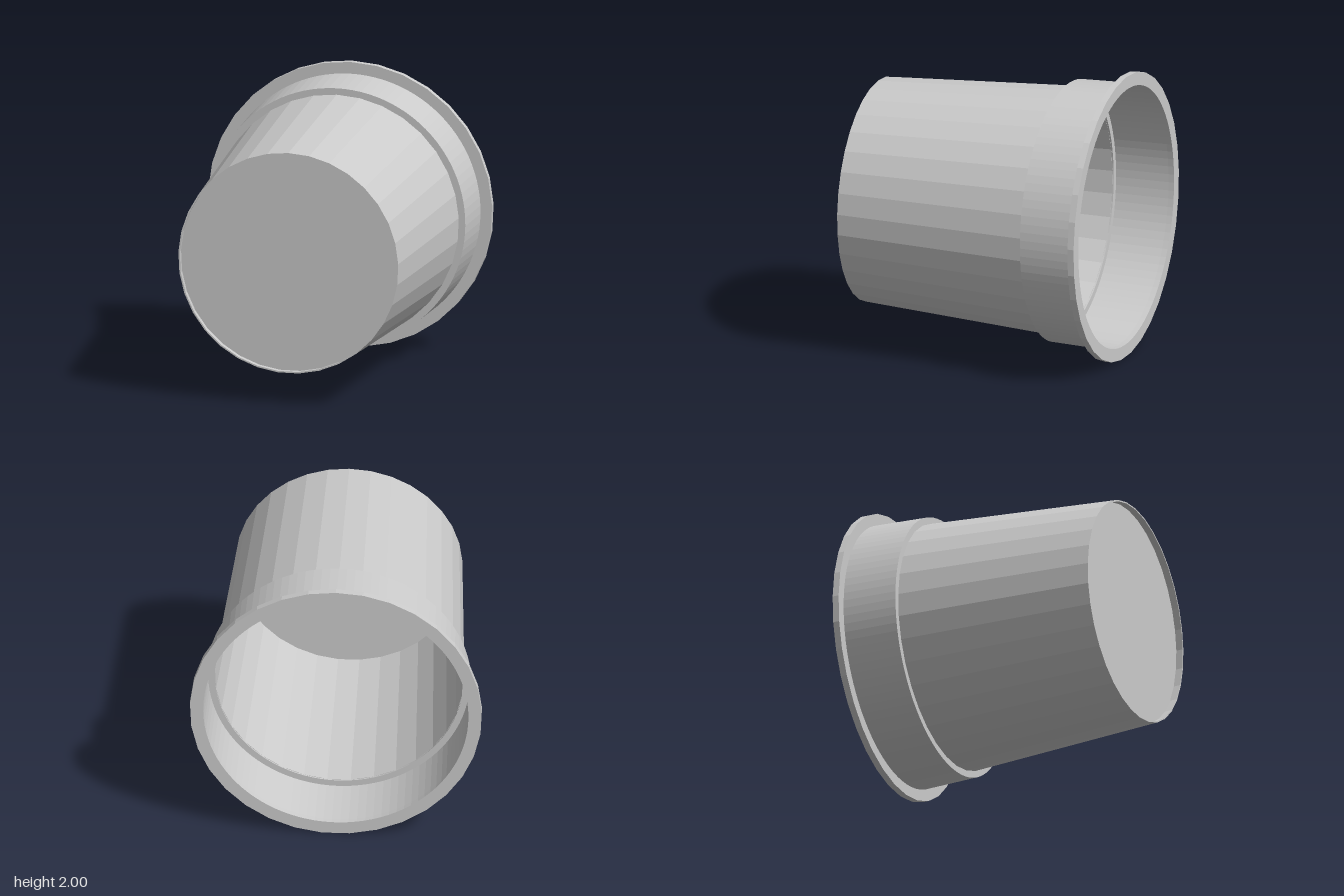
import * as THREE from 'three';

const SIDES = 33;   // coarse facets of body and rim
const FINE = 99;    // finer facets of the collar

const material = new THREE.MeshStandardMaterial({ color: 0xcccccc, flatShading: true });

// Turn a profile of [radius, z] points about the z axis, with one corner at the top
function turned(name, profile, sides) {
  const points = profile.map(([r, z]) => new THREE.Vector2(r, z));
  const geometry = new THREE.LatheGeometry(points, sides, Math.PI).rotateX(Math.PI / 2);
  const mesh = new THREE.Mesh(geometry, material);
  mesh.name = name;
  return mesh;
}

// Regular polygon with one corner at the top
function polygon(radius, sides) {
  return Array.from({ length: sides }, (_, i) => {
    const a = Math.PI / 2 + (i / sides) * Math.PI * 2;
    return new THREE.Vector2(radius * Math.cos(a), radius * Math.sin(a));
  });
}

export function createModel() {
  const pot = new THREE.Group();
  pot.name = 'pot';

  // Thin tapered wall, lying on its side with the closed end to the front
  pot.add(turned('body', [
    [0.86, -0.48], [0.775, 0.91], [0.765, 0.91], [0.85, -0.48], [0.86, -0.48],
  ], SIDES));

  // Base plate, set slightly back from the end of the wall
  pot.add(turned('base', [[0, 0.845], [0.77, 0.845], [0.768, 0.86], [0, 0.86]], SIDES));

  // Wider collar with the step that joins it to the body
  pot.add(turned('collar', [
    [0.918, -0.87], [0.905, -0.48], [0.85, -0.48], [0.85, -0.49],
    [0.895, -0.49], [0.908, -0.87],
  ], FINE));

  // Flat rim around the opening
  const ring = new THREE.Shape(polygon(1, SIDES));
  ring.holes.push(new THREE.Path(polygon(0.908, FINE)));
  const rim = new THREE.Mesh(
    new THREE.ExtrudeGeometry(ring, { depth: 0.045, bevelEnabled: false }), material);
  rim.name = 'rim';
  rim.position.z = -0.91;
  pot.add(rim);

  pot.position.y = 0.998;
  const model = new THREE.Group();
  model.add(pot);
  return model;
}
